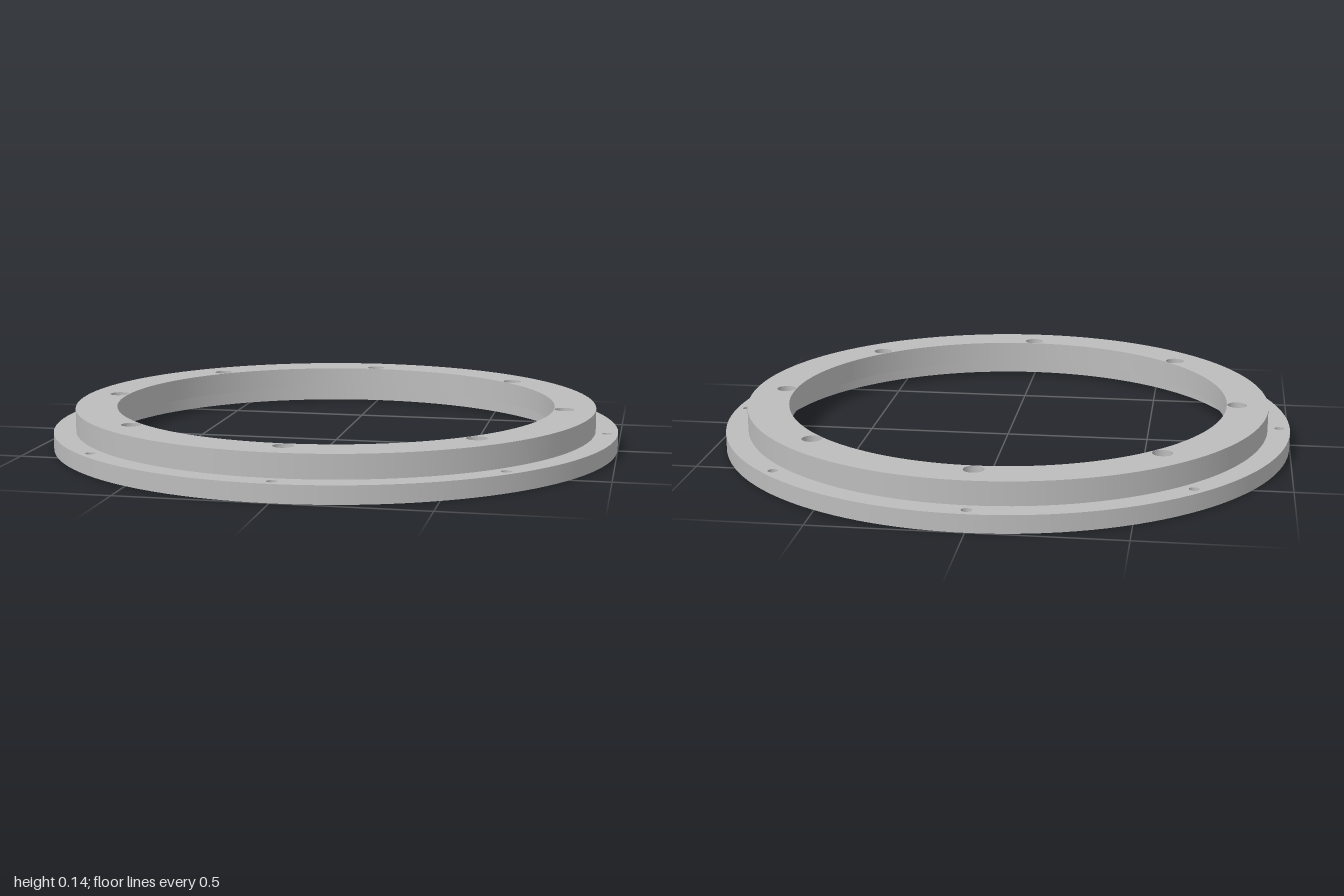
import * as THREE from 'three';
import { mergeGeometries } from 'three/addons/utils/BufferGeometryUtils.js';

const RING_SIDES = 128, HOLE_SIDES = 24, HOLE_COUNT = 8;
const FLANGE_R = 1, HUB_R = 0.922, RECESS_R = 0.85, BORE_R = 0.777;
const FLANGE_TOP = 0.06, LEDGE_Y = 0.06, HUB_TOP = 0.14, SEAT_Y = 0.095;
const OUTER_BOLTS = { ring: 0.963, r: 0.017 };
const INNER_BOLTS = { ring: 0.813, r: 0.024 };
const COUNTERBORE = { ring: 0.813, r: 0.034 };

// Points around a circle
function circle(r, sides, cx = 0, cy = 0) {
  return Array.from({ length: sides }, (_, i) => {
    const a = (i / sides) * Math.PI * 2;
    return new THREE.Vector2(cx + r * Math.cos(a), cy + r * Math.sin(a));
  });
}

// Centres of the evenly spaced bolt holes
function boltCentres(ring) {
  return circle(ring, HOLE_COUNT);
}

// Flat ring at height y, facing up or down, pierced by a bolt circle
function face(outer, inner, y, up, bolts) {
  const shape = new THREE.Shape(circle(outer, RING_SIDES));
  shape.holes.push(new THREE.Path(circle(inner, RING_SIDES)));
  if (bolts) {
    for (const c of boltCentres(bolts.ring)) {
      shape.holes.push(new THREE.Path(circle(bolts.r, HOLE_SIDES, c.x, c.y)));
    }
  }
  return new THREE.ShapeGeometry(shape)
    .rotateX(up ? -Math.PI / 2 : Math.PI / 2)
    .translate(0, y, 0);
}

// Round wall; swapping the heights turns it inward
function wall(r, yStart, yEnd, sides = RING_SIDES) {
  return new THREE.LatheGeometry(
    [new THREE.Vector2(r, yStart), new THREE.Vector2(r, yEnd)], sides);
}

// Inward walls of all holes in a bolt circle
function holeWalls(bolts, y0, y1) {
  return boltCentres(bolts.ring).map((c) =>
    wall(bolts.r, y1, y0, HOLE_SIDES).translate(c.x, 0, c.y));
}

// Small annular seats at the bottom of the counterbores
function seats() {
  return boltCentres(COUNTERBORE.ring).map((c) =>
    new THREE.RingGeometry(INNER_BOLTS.r, COUNTERBORE.r, HOLE_SIDES)
      .rotateX(-Math.PI / 2)
      .translate(c.x, SEAT_Y, c.y));
}

export function createModel() {
  const group = new THREE.Group();
  group.name = 'mountingRing';

  const metal = new THREE.MeshStandardMaterial({ color: 0xbcbcbc });
  metal.name = 'plain grey metal';

  const add = (name, geometries) => {
    const mesh = new THREE.Mesh(mergeGeometries(geometries), metal);
    mesh.name = name;
    group.add(mesh);
  };

  // Wide lower flange with its recess underneath
  add('flange', [
    wall(FLANGE_R, 0, FLANGE_TOP),
    face(FLANGE_R, HUB_R, FLANGE_TOP, true, OUTER_BOLTS),
    face(FLANGE_R, RECESS_R, 0, false, OUTER_BOLTS),
    wall(RECESS_R, LEDGE_Y, 0),
  ]);

  // Raised ring around the central opening
  add('raisedRing', [
    wall(HUB_R, FLANGE_TOP, HUB_TOP),
    face(HUB_R, BORE_R, HUB_TOP, true, COUNTERBORE),
    wall(BORE_R, HUB_TOP, LEDGE_Y),
    face(RECESS_R, BORE_R, LEDGE_Y, false, INNER_BOLTS),
  ]);

  // Bolt holes
  add('flangeBoltHoles', holeWalls(OUTER_BOLTS, 0, FLANGE_TOP));
  add('innerBoltHoles', holeWalls(INNER_BOLTS, LEDGE_Y, SEAT_Y));
  add('counterbores', [...holeWalls(COUNTERBORE, SEAT_Y, HUB_TOP), ...seats()]);

  return group;
}
